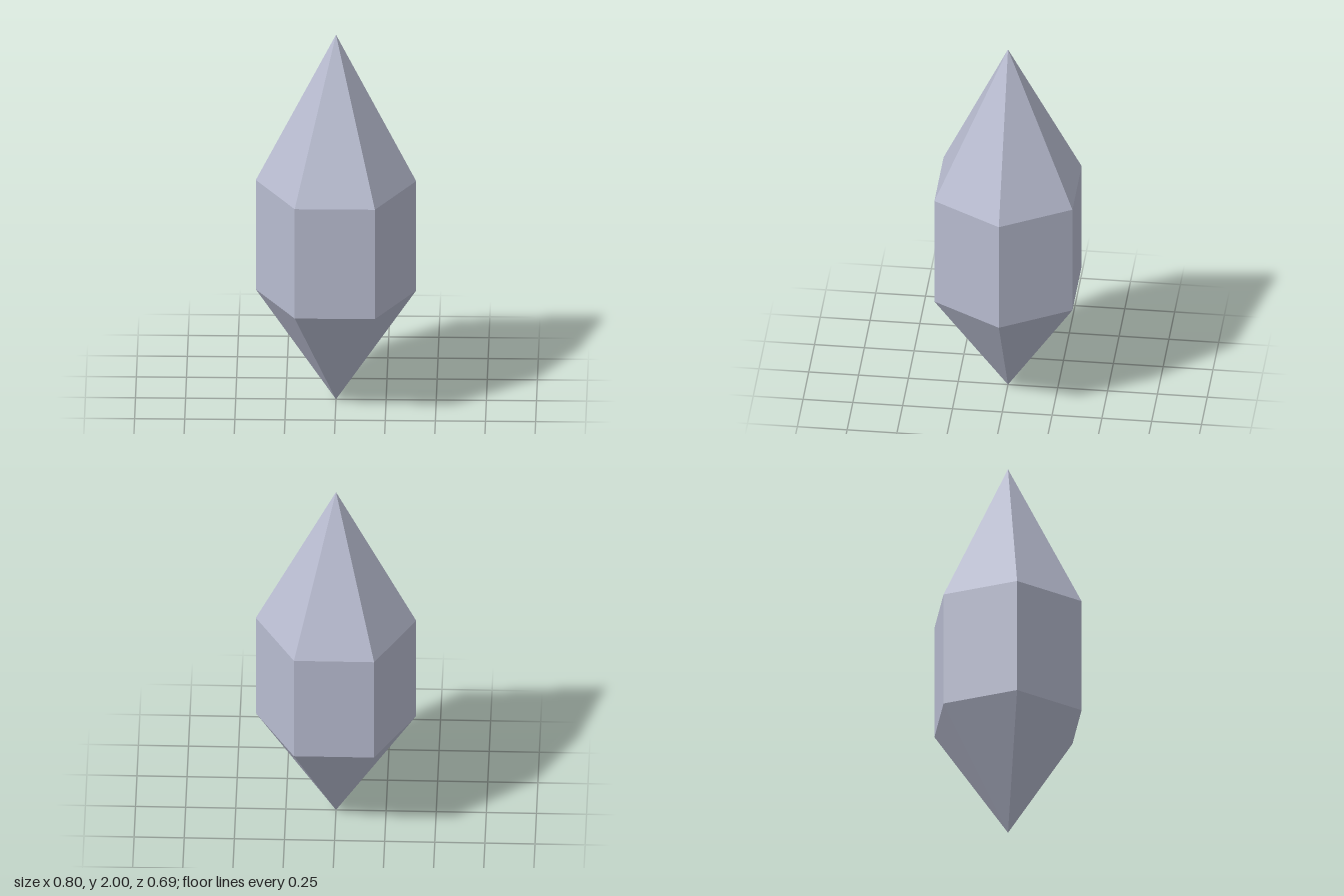
import * as THREE from 'three';

export function createModel() {
  const model = new THREE.Group();
  model.name = 'crystal';

  const crystal = new THREE.MeshStandardMaterial({ color: 0xb8bcd0, flatShading: true });
  crystal.name = 'pale blue grey crystal';

  const sides = 6;
  const radius = 0.4;

  // One six-sided band between two heights, with corners on the x axis
  function addBand(name, topRadius, bottomRadius, bottom, top) {
    const geometry = new THREE.CylinderGeometry(
      topRadius, bottomRadius, top - bottom, sides, 1, true, Math.PI / 6);
    const mesh = new THREE.Mesh(geometry, crystal);
    mesh.name = name;
    mesh.position.y = (bottom + top) / 2;
    model.add(mesh);
  }

  addBand('lowerPoint', radius, 0, 0, 0.6);
  addBand('prismBody', radius, radius, 0.6, 1.2);
  addBand('upperPoint', 0, radius, 1.2, 2);

  return model;
}
